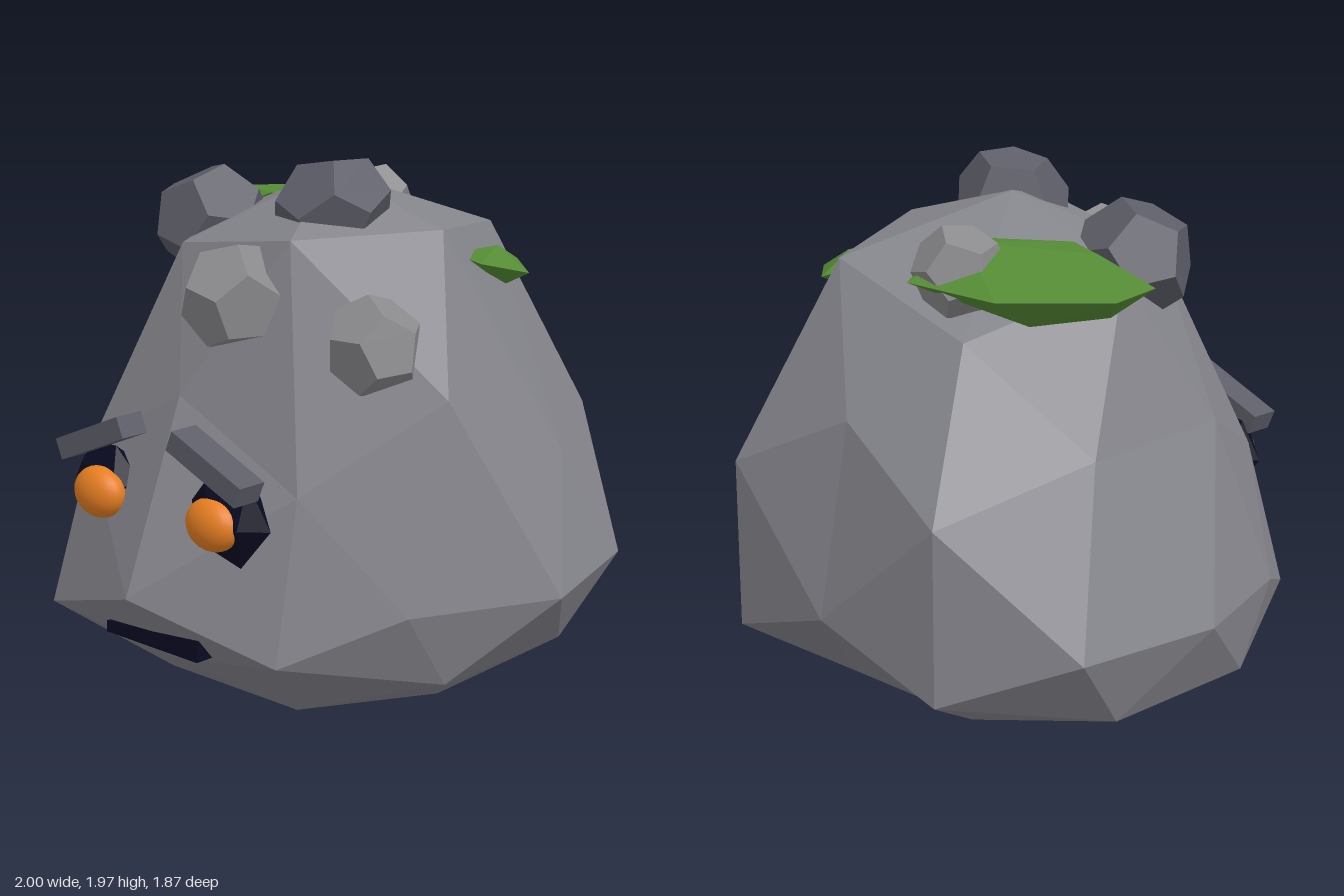
import * as THREE from 'three';
import { ConvexGeometry } from 'three/addons/geometries/ConvexGeometry.js';

const vec = (p) => new THREE.Vector3(...p);

function mat(name, color, flatShading = true) {
  const m = new THREE.MeshStandardMaterial({ color, flatShading });
  m.name = name;
  return m;
}

// Faceted body: a subdivided icosahedron, tall above the waist and shallow below,
// whose corners snap to nearby uneven places.
function bodyGeometry() {
  const waist = [
    [1, 0.57, -0.06], [-1, 0.57, -0.06], [-0.05, 0.57, 0.93], [-0.05, 0.57, -0.94],
    [0.76, 0.57, 0.44], [-0.84, 0.57, 0.42], [0.84, 0.57, -0.6], [-0.93, 0.57, -0.6],
  ];
  const upper = [
    [-0.05, 1.89, -0.06], [-0.57, 1.68, -0.06], [-0.33, 1.66, 0.38], [0.27, 1.75, 0.47],
    [-0.34, 1.5, -0.56], [-0.75, 1.17, 0.21], [-0.74, 1.15, -0.36], [0.76, 0.97, -0.36],
    [-0.05, 1.22, 0.67], [-0.05, 1.23, -0.81], [0.44, 0.95, 0.62], [-0.54, 0.95, 0.64],
  ];
  const under = [
    [-0.05, 0, -0.05], [-0.59, 0.4, 0.79], [-0.05, 0.31, 0.72],
    [-0.5, 0.15, -0.05], [0.26, 0.16, -0.52], [-0.33, 0.17, -0.52],
  ];
  const corners = [...waist, ...upper, ...under].map(vec);

  const geo = new THREE.IcosahedronGeometry(1, 1);
  const pos = geo.attributes.position;
  const v = new THREE.Vector3();
  for (let i = 0; i < pos.count; i++) {
    v.fromBufferAttribute(pos, i);
    v.set(
      -0.05 + v.x,
      0.57 + v.y * (v.y > 0 ? 1.38 : 0.56),
      -0.05 + v.z * (v.z > 0 ? 0.97 : 1.04));
    const p = corners.find((c) => c.distanceTo(v) < 0.31) ?? v;
    pos.setXYZ(i, p.x, p.y, p.z);
  }
  geo.computeVertexNormals();
  return geo;
}

export function createModel() {
  const group = new THREE.Group();
  const stone = mat('stone', 0x85858c);
  const paleStone = mat('pale stone', 0x8b8b8e);
  const darkStone = mat('dark stone', 0x5e5e69);
  const moss = mat('moss green', 0x558b35);
  const navy = mat('dark navy', 0x0a0a22);
  const orange = mat('orange', 0xe67e22, false);

  function add(name, geometry, material, position = [0, 0, 0], rotation = [0, 0, 0], scale = [1, 1, 1]) {
    const mesh = new THREE.Mesh(geometry, material);
    mesh.name = name;
    mesh.position.set(...position);
    mesh.rotation.set(...rotation);
    mesh.scale.set(...scale);
    group.add(mesh);
  }

  add('body', bodyGeometry(), stone);

  // Boulders stuck on the head and shoulders
  function boulder(name, material, radius, position, rotation, height) {
    add(name, new THREE.DodecahedronGeometry(radius), material, position, rotation, [1, height, 1]);
  }
  boulder('rightCrownBoulder', darkStone, 0.21, [-0.45, 1.69, 0.12], [-0.2, -0.5, 0.1], 1);
  boulder('leftCrownBoulder', darkStone, 0.21, [0.15, 1.81, 0.14], [0.4, 0.2, 0.1], 0.85);
  boulder('foreheadBoulder', paleStone, 0.19, [0.08, 1.55, 0.53], [0.3, 0.5, 0.1], 1);
  boulder('shoulderBoulder', paleStone, 0.165, [0.53, 1.42, 0.35], [0.1, 0.6, 0.4], 1.08);
  boulder('backBoulder', paleStone, 0.165, [-0.22, 1.7, -0.46], [0.5, 0.2, 0.3], 0.95);

  // Moss pads: a rim of points, then raised and sunken ones
  function mossPad(name, points) {
    add(name, new ConvexGeometry(points.map(vec)), moss);
  }
  mossPad('largeMoss', [
    [-0.81, 1.68, -0.35], [-0.52, 1.67, -0.59], [-0.15, 1.68, -0.63], [-0.05, 1.73, -0.4],
    [-0.15, 1.77, -0.26], [-0.38, 1.77, -0.1], [-0.65, 1.64, 0.01],
    [-0.57, 1.77, -0.18], [-0.2, 1.79, -0.42],
    [-0.6, 1.56, -0.15], [-0.5, 1.56, -0.42],
  ]);
  mossPad('smallMoss', [
    [0.37, 1.61, -0.43], [0.43, 1.58, -0.51], [0.6, 1.57, -0.36], [0.54, 1.62, -0.17], [0.38, 1.63, -0.22],
    [0.46, 1.65, -0.36], [0.5, 1.52, -0.36],
  ]);

  // Eyes and brows; each socket is a flattened icosahedron with one face turned forward
  function eye(side, s, socketX, socketR, eyeX) {
    const socket = new THREE.IcosahedronGeometry(socketR, 0);
    socket.rotateY(-0.365);
    add(side + 'EyeSocket', socket, navy, [socketX, 0.87, 0.725], [0, 0, s * -0.12], [1, 1, 0.52]);
    add(side + 'Eye', new THREE.SphereGeometry(1, 24, 16), orange,
      [eyeX, 0.855, 0.785], [0, 0, 0], [0.108, 0.09, 0.07]);
    add(side + 'Brow', new THREE.BoxGeometry(0.34, 0.075, 0.11), darkStone,
      [eyeX, 1.05, 0.775], [0, 0, s * -0.4]);
  }
  eye('right', -1, -0.355, 0.16, -0.33);
  eye('left', 1, 0.235, 0.175, 0.22);

  // Crooked mouth
  const lips = new THREE.Shape([[-0.28, 0.37], [0.165, 0.37], [0.165, 0.445], [-0.28, 0.41]]
    .map(([x, y]) => new THREE.Vector2(x, y)));
  add('mouth', new THREE.ExtrudeGeometry(lips, { depth: 0.08, bevelEnabled: false }), navy, [0, 0, 0.735]);

  return group;
}
